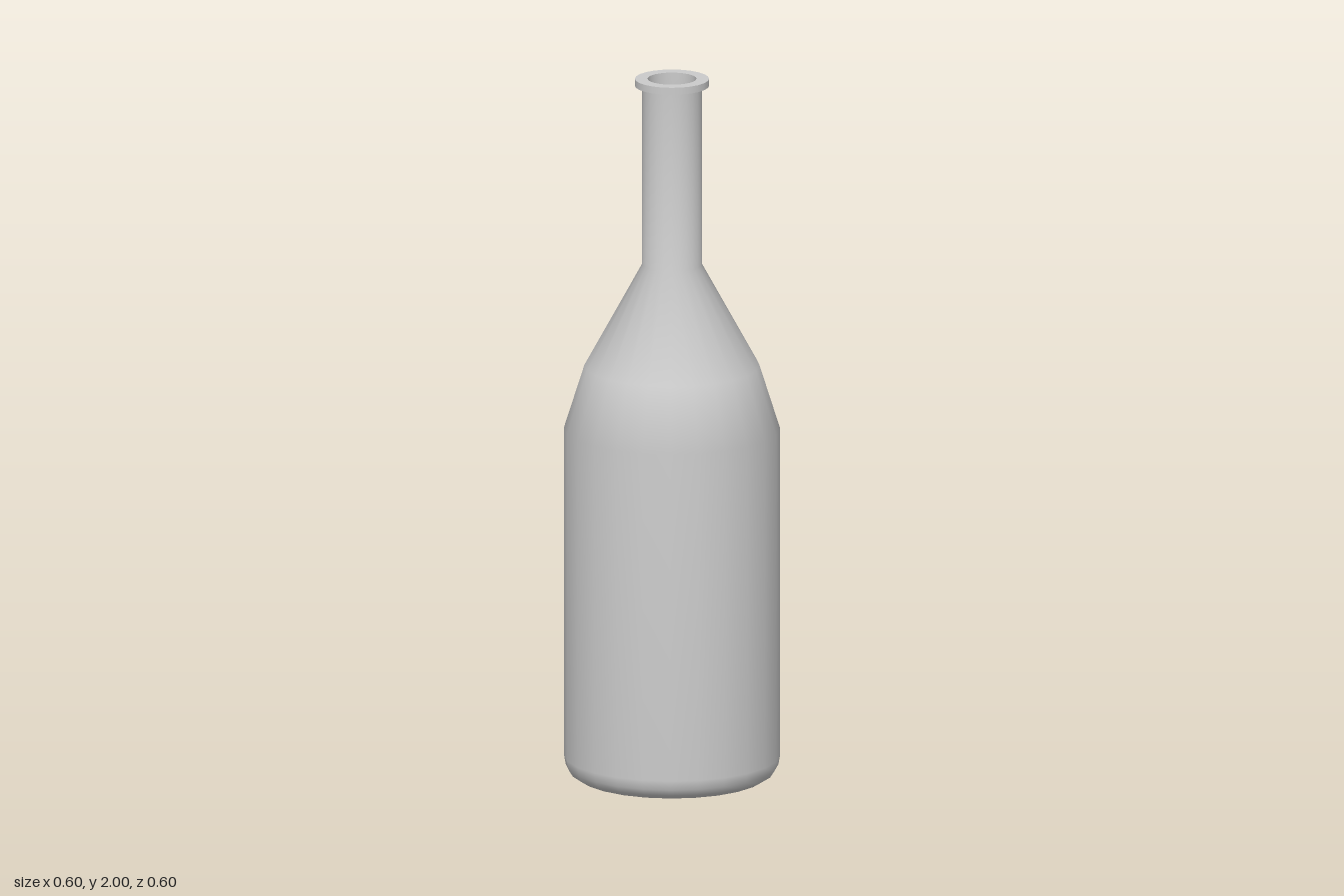
import * as THREE from 'three';

const SIDES = 24;
const material = new THREE.MeshStandardMaterial({ color: 0xcccccc });

// One smooth band of revolution; separate bands keep a sharp edge between them
function turned(name, profile) {
  const points = profile.map(([r, y]) => new THREE.Vector2(r, y));
  const mesh = new THREE.Mesh(new THREE.LatheGeometry(points, SIDES), material);
  mesh.name = name;
  return mesh;
}

export function createModel() {
  const bottle = new THREE.Group();
  bottle.name = 'bottle';

  // Base, body, shoulder and neck
  bottle.add(turned('body', [
    [0, 0], [0.235, 0], [0.262, 0.006], [0.283, 0.019], [0.295, 0.038], [0.3, 0.065],
    [0.3, 1.0], [0.243, 1.18], [0.083, 1.47], [0.083, 1.98],
  ]));

  // Rim around the mouth
  const rim = new THREE.Group();
  rim.name = 'rim';
  rim.add(
    turned('rimUnderside', [[0.083, 1.98], [0.103, 1.98]]),
    turned('rimEdge', [[0.103, 1.98], [0.103, 2]]),
    turned('rimTop', [[0.103, 2], [0.068, 2]]),
  );
  bottle.add(rim);

  // Hollow inside, down to a flat floor
  bottle.add(
    turned('innerWall', [
      [0.068, 2], [0.068, 1.465], [0.228, 1.175], [0.285, 0.995], [0.285, 0.065], [0.235, 0.015],
    ]),
    turned('innerFloor', [[0.235, 0.015], [0, 0.015]]),
  );

  return bottle;
}
